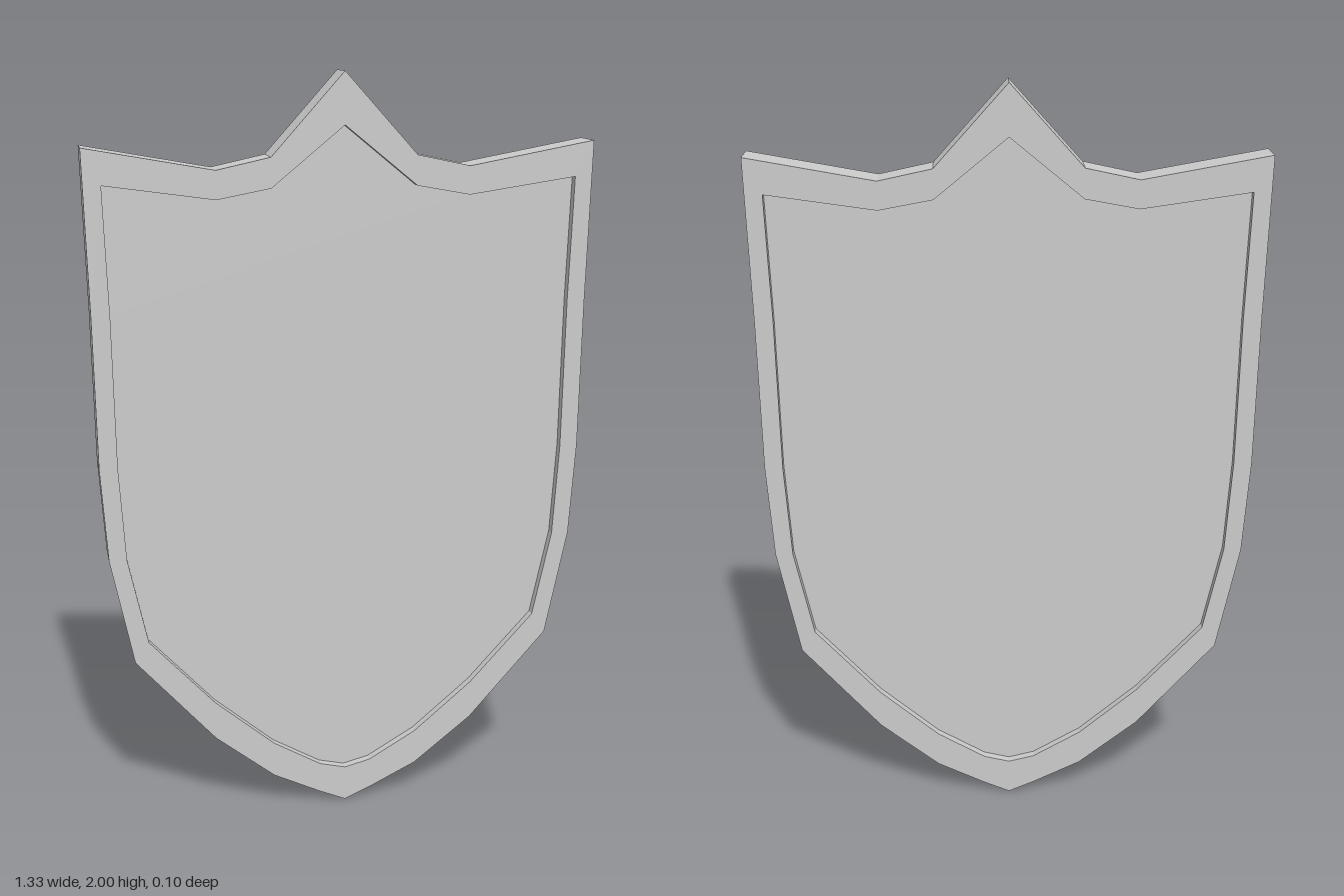
import * as THREE from 'three';

// Left half of each outline (+x), from top centre to bottom tip
const OUTER = [[0, 2], [0.19, 1.79], [0.33, 1.76], [0.663, 1.82], [0.653, 1.4], [0.648, 1.0],
  [0.632, 0.75], [0.573, 0.46], [0.36, 0.22], [0.2, 0.093], [0.07, 0.03], [0, 0]];
const INNER = [[0, 1.867], [0.19, 1.712], [0.33, 1.686], [0.615, 1.727], [0.605, 1.4], [0.6, 1.0],
  [0.585, 0.75], [0.535, 0.515], [0.36, 0.325], [0.2, 0.19], [0.07, 0.115], [0, 0.098]];

// Mirror a half outline into a closed clockwise loop
function outline(half) {
  const mirrored = half.slice(1, -1).reverse().map(([x, y]) => [-x, y]);
  return [...half, ...mirrored].map(([x, y]) => new THREE.Vector2(x, y));
}

// Slab of the given thickness, centred on z = 0
function slab(name, shape, thickness, material) {
  const geometry = new THREE.ExtrudeGeometry(shape, { depth: thickness, bevelEnabled: false });
  geometry.translate(0, 0, -thickness / 2);
  const mesh = new THREE.Mesh(geometry, material);
  mesh.name = name;
  return mesh;
}

export function createModel() {
  const group = new THREE.Group();
  group.name = 'shield';
  const material = new THREE.MeshStandardMaterial({ color: 0xcccccc, flatShading: true });

  // Raised border: counter-clockwise edge, clockwise hole, so the inner walls face inwards
  const rim = new THREE.Shape(outline(OUTER).reverse());
  rim.holes.push(new THREE.Path(outline(INNER)));
  group.add(slab('rim', rim, 0.102, material));

  // Panel recessed on both faces
  group.add(slab('panel', new THREE.Shape(outline(INNER)), 0.054, material));
  return group;
}
